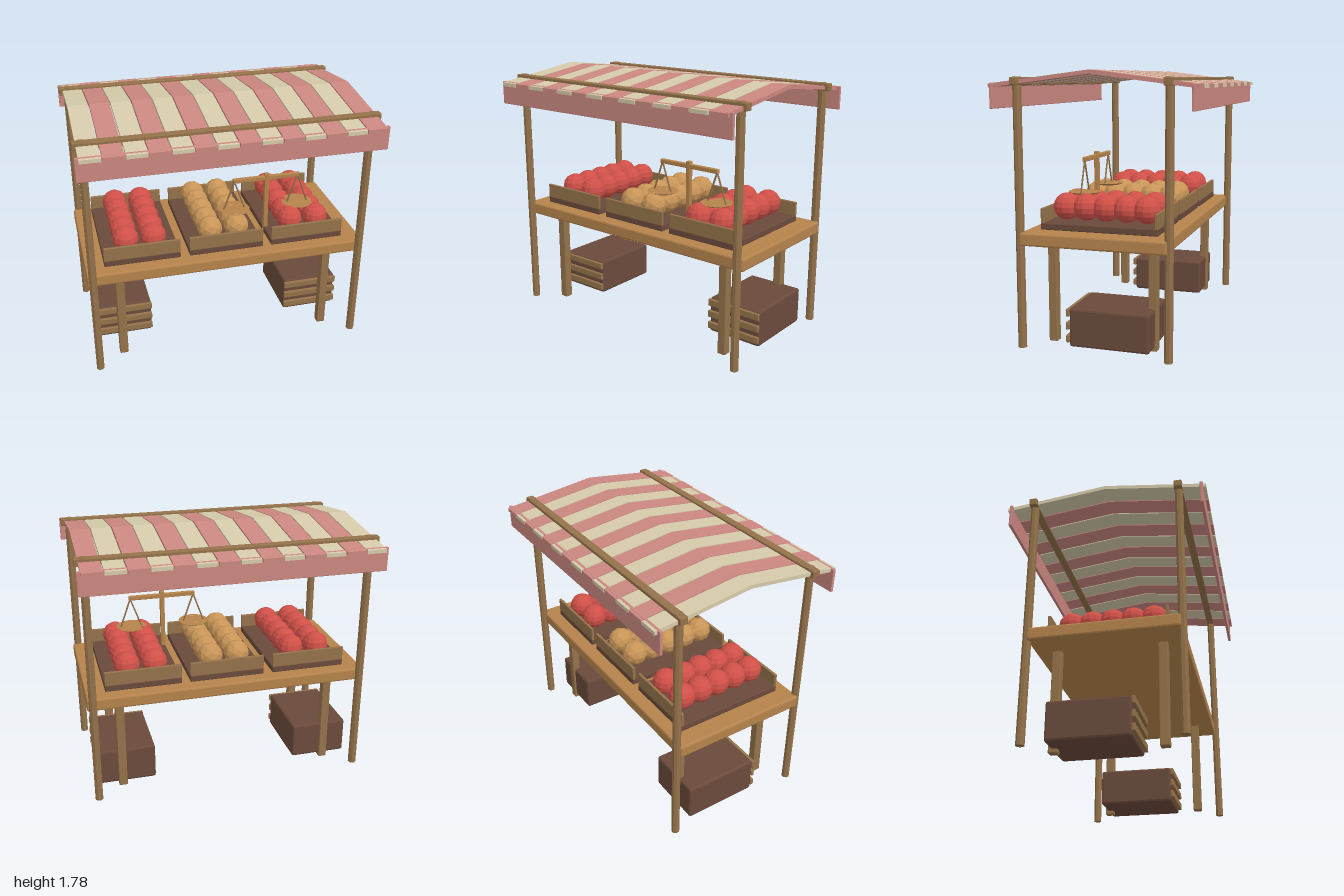
import * as THREE from 'three';
import { RoundedBoxGeometry } from 'three/addons/geometries/RoundedBoxGeometry.js';

const flat = (name, color) => {
  const m = new THREE.MeshStandardMaterial({ color, flatShading: true });
  m.name = name;
  return m;
};

export function createModel() {
  const wood = flat('wood', 0x94724a);
  const lightWood = flat('lightWood', 0xb5834c);
  const darkWood = flat('darkWood', 0x6a4a3b);
  const pink = flat('pinkCloth', 0xcb8780);
  const cream = flat('creamCloth', 0xd5caaa);
  const red = flat('redFruit', 0xcf5048);
  const tan = flat('tanFruit', 0xc99558);

  const root = new THREE.Group();
  root.name = 'marketStall';

  const group = (name, parent = root) => {
    const g = new THREE.Group();
    g.name = name;
    parent.add(g);
    return g;
  };
  const add = (parent, name, geo, mat, x = 0, y = 0, z = 0) => {
    const m = new THREE.Mesh(geo, mat);
    m.name = name;
    m.position.set(x, y, z);
    parent.add(m);
    return m;
  };
  // Box with small chamfered edges
  const box = (parent, name, mat, [w, h, d], [x, y, z], bevel = 0.006) =>
    add(parent, name, new RoundedBoxGeometry(w, h, d, 1, bevel), mat, x, y, z);

  // Table
  const table = group('table');
  box(table, 'tableTop', lightWood, [1.96, 0.085, 0.965], [0, 0.72, 0], 0.012);
  for (const x of [-0.755, 0.755])
    for (const z of [-0.342, 0.342])
      box(table, 'tableLeg', wood, [0.06, 0.69, 0.06], [x, 0.345, z]);

  // Canopy posts, beams and hanging cloth
  const frame = group('frame');
  const postGeo = new THREE.CylinderGeometry(0.028, 0.028, 1.738, 8);
  postGeo.rotateY(Math.PI / 8);
  for (const z of [-0.49, 0.49]) {
    for (const x of [-0.943, 0.943]) add(frame, 'post', postGeo, wood, x, 0.869, z);
    box(frame, 'beam', wood, [2, 0.05, 0.054], [0, 1.711, z]);
    box(frame, 'valance', pink, [2, 0.16, 0.02], [0, 1.62, Math.sign(z) * 0.643], 0.004);
  }

  // Striped gable roof: one cross-section repeated along x
  const roof = group('roof');
  const section = new THREE.Shape([
    [0.672, 1.67], [0.672, 1.695], [0, 1.78], [-0.672, 1.695], [-0.672, 1.67], [0, 1.755],
  ].map(([z, y]) => new THREE.Vector2(z, y)));
  const stripeGeo = new THREE.ExtrudeGeometry(section, { depth: 0.132, bevelEnabled: false });
  stripeGeo.translate(0, 0, -0.066);
  stripeGeo.rotateY(-Math.PI / 2);
  for (let i = 0; i < 14; i++)
    add(roof, 'roofStripe', stripeGeo, i % 2 ? pink : cream, -0.91 + i * 0.14, 0, 0);

  // Fruit trays: base, front and back boards, two columns of fruit
  const redGeo = new THREE.SphereGeometry(0.09, 12, 8);
  const tanGeo = new THREE.IcosahedronGeometry(0.09, 1);
  for (const [cx, geo, mat] of [[-0.59, redGeo, red], [0, tanGeo, tan], [0.585, redGeo, red]]) {
    const tray = group('fruitTray');
    tray.position.x = cx;
    box(tray, 'trayBase', darkWood, [0.525, 0.045, 0.785], [0, 0.786, 0]);
    for (const z of [-0.381, 0.381])
      box(tray, 'trayBoard', wood, [0.525, 0.1, 0.02], [0, 0.853, z], 0.004);
    for (const x of [-0.095, 0.095])
      for (let i = -2; i <= 2; i++) add(tray, 'fruit', geo, mat, x, 0.897, i * 0.137);
  }

  // Storage crates under the table
  for (const side of [-1, 1]) {
    const crate = group('storageCrate');
    crate.position.x = side * 0.72;
    box(crate, 'crateBody', darkWood, [0.405, 0.255, 0.53], [0, 0.153, -0.092], 0.015);
    for (const y of [0.078, 0.163, 0.249])
      box(crate, 'crateSlat', wood, [0.412, 0.05, 0.024], [0, y, 0.183]);
  }

  // Weighing scale
  const scale = group('scale');
  scale.position.set(0.337, 0, 0.19);
  box(scale, 'scaleColumn', lightWood, [0.032, 0.47, 0.032], [0, 0.995, 0], 0.004);
  box(scale, 'scaleArm', lightWood, [0.485, 0.03, 0.03], [0, 1.196, 0], 0.004);
  const panGeo = new THREE.CylinderGeometry(0.112, 0.09, 0.012, 12);
  for (const side of [-1, 1]) {
    const x = side * 0.233;
    add(scale, 'scalePan', panGeo, lightWood, x, 0.977, 0);
    for (const s of [-1, 1]) {
      const path = new THREE.LineCurve3(
        new THREE.Vector3(x, 1.19, 0), new THREE.Vector3(x + s * 0.075, 0.98, 0));
      add(scale, 'scaleCord', new THREE.TubeGeometry(path, 1, 0.006, 6), wood);
    }
  }

  return root;
}
